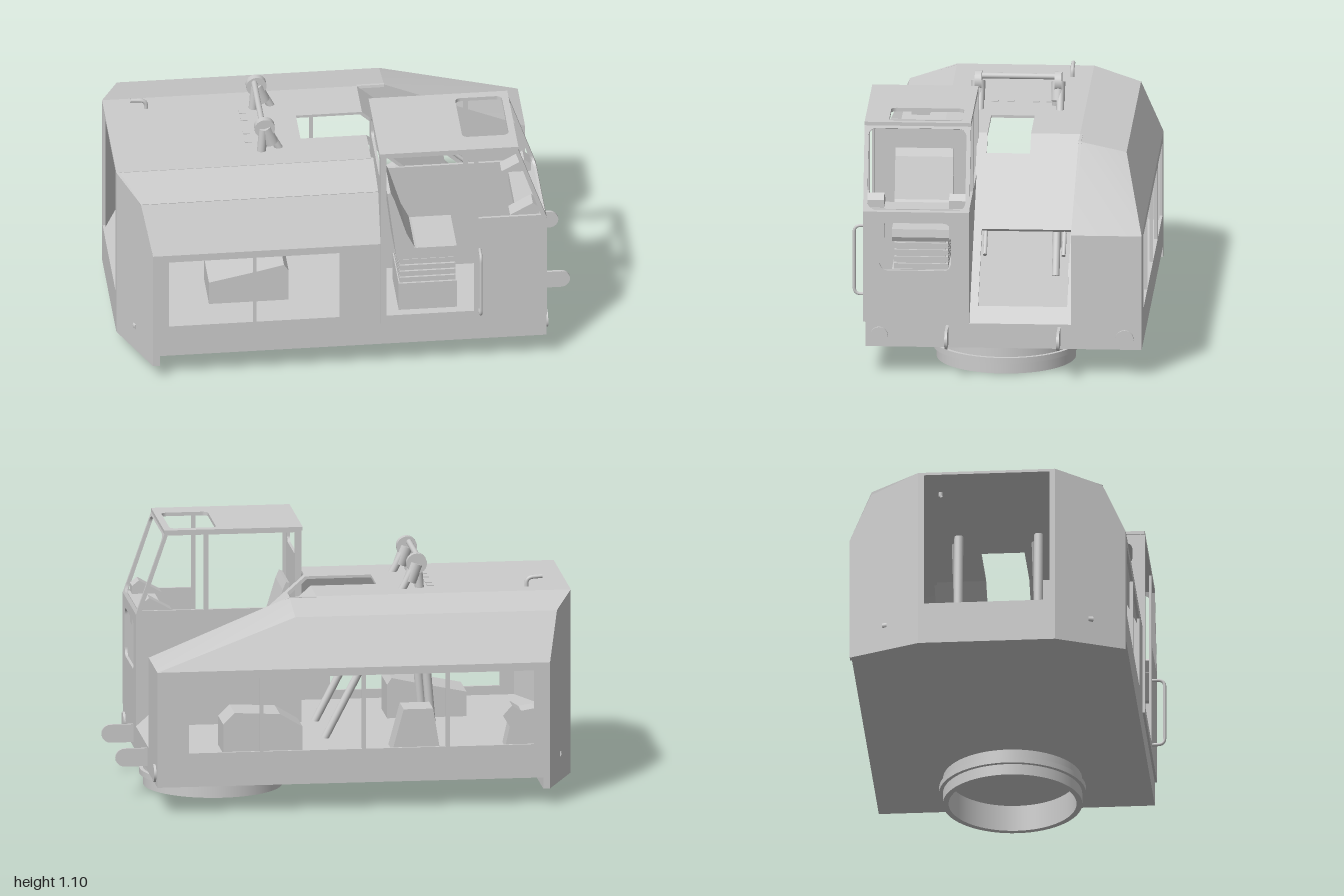
import * as THREE from 'three';

const mat = new THREE.MeshStandardMaterial({ color: 0xcccccc, side: THREE.DoubleSide });
const vec = (a) => new THREE.Vector3(...a);
const X = [1, 0, 0], Y = [0, 1, 0], Z = [0, 0, 1];
const T = 0.012;

// rectangle as corner list, and rounded rectangle as a path
const rect = (a, b, c, d) => [[a, b], [c, b], [c, d], [a, d]];
function rounded(a, b, c, d, r) {
  const p = new THREE.Path();
  p.absarc(c - r, d - r, r, 0, Math.PI / 2);
  p.absarc(a + r, d - r, r, Math.PI / 2, Math.PI);
  p.absarc(a + r, b + r, r, Math.PI, Math.PI * 1.5);
  p.absarc(c - r, b + r, r, Math.PI * 1.5, Math.PI * 2);
  p.closePath();
  return p;
}

export function createModel() {
  const model = new THREE.Group();
  const group = (name) => {
    const g = new THREE.Group();
    g.name = name;
    model.add(g);
    return g;
  };
  const add = (parent, name, geo) => {
    const m = new THREE.Mesh(geo, mat);
    m.name = name;
    parent.add(m);
    return m;
  };
  // sheet drawn in the plane (origin, U, V) and thickened along U x V
  const plate = (parent, name, origin, U, V, outline, holes = [], t = T) => {
    const s = new THREE.Shape(outline.map((p) => new THREE.Vector2(...p)));
    s.holes = holes.map((h) => (h instanceof THREE.Path ? h : new THREE.Path(h.map((p) => new THREE.Vector2(...p)))));
    const geo = new THREE.ExtrudeGeometry(s, { depth: t, bevelEnabled: false, curveSegments: 8 });
    const u = vec(U).normalize(), v = vec(V).normalize();
    geo.applyMatrix4(new THREE.Matrix4().makeBasis(u, v, u.clone().cross(v)).setPosition(...origin));
    return add(parent, name, geo);
  };
  const box = (parent, name, a, b) => {
    const m = add(parent, name, new THREE.BoxGeometry(b[0] - a[0], b[1] - a[1], b[2] - a[2]));
    m.position.set((a[0] + b[0]) / 2, (a[1] + b[1]) / 2, (a[2] + b[2]) / 2);
    return m;
  };
  const rod = (parent, name, a, b, r, n = 16) => {
    const A = vec(a), B = vec(b), d = B.clone().sub(A);
    const m = add(parent, name, new THREE.CylinderGeometry(r, r, d.length(), n));
    m.position.copy(A).add(B).multiplyScalar(0.5);
    m.quaternion.setFromUnitVectors(vec(Y), d.normalize());
    return m;
  };
  const tube = (parent, name, pts, r) => {
    const path = new THREE.CurvePath();
    const P = pts.map(vec), k = 0.03;
    let from = P[0];
    for (let i = 1; i < P.length - 1; i++) {
      const p = P[i].clone().lerp(P[i - 1], k / P[i].distanceTo(P[i - 1]));
      const q = P[i].clone().lerp(P[i + 1], k / P[i].distanceTo(P[i + 1]));
      path.add(new THREE.LineCurve3(from, p));
      path.add(new THREE.QuadraticBezierCurve3(p, P[i], q));
      from = q;
    }
    path.add(new THREE.LineCurve3(from, P[P.length - 1]));
    return add(parent, name, new THREE.TubeGeometry(path, 48, r, 10));
  };

  // base deck, rear skirt and slewing ring
  const base = group('base');
  plate(base, 'deck', [0, 0.23, 0], X, Z,
    [[-1, -0.33], [-0.87, -0.64], [0.86, -0.64], [0.86, 0.57], [-0.87, 0.57], [-1, 0.27]], [], 0.11);
  plate(base, 'rearSkirt', [0, 0.215, 0], X, Z,
    [[-1, -0.33], [-0.87, -0.64], [-0.84, -0.64], [-0.84, 0.57], [-0.87, 0.57], [-1, 0.27]], [], 0.145);
  const ringProfile = [[0.28, 0.12], [0.28, 0], [0.305, 0], [0.305, 0.05], [0.322, 0.05], [0.322, 0.075], [0.305, 0.075], [0.305, 0.12]];
  const ringPoints = ringProfile.flatMap((p, i) => {
    const v = new THREE.Vector2(...p);
    return i ? [v, v.clone()] : [v];
  });
  add(base, 'slewingRing', new THREE.LatheGeometry(ringPoints, 64)).position.set(0.54, 0, -0.03);
  for (const z of [0.51, -0.565]) rod(base, 'frontLamp', [0.85, 0.17, z], [0.87, 0.17, z], 0.039, 32);
  for (const z of [0.205, -0.285]) {
    const lug = new THREE.Shape();
    lug.moveTo(0.85, 0.14);
    lug.lineTo(0.96, 0.14);
    lug.absarc(0.96, 0.18, 0.04, -Math.PI / 2, Math.PI / 2);
    lug.lineTo(0.85, 0.22);
    add(base, 'frontLug', new THREE.ExtrudeGeometry(lug, { depth: 0.012, bevelEnabled: false })).position.z = z;
  }
  for (const z of [-0.25, -0.03, 0.19]) rod(base, 'rearBolt', [-1.0, 0.18, z], [-0.98, 0.18, z], 0.014);
  for (const s of [-1, 1]) rod(base, 'cornerBolt', [-0.93, 0.19, -0.03 + s * 0.44], [-0.925, 0.19, -0.03 + s * 0.46], 0.014);

  // engine house walls
  const house = group('house');
  plate(house, 'leftWall', [0, 0, 0.57 - T], X, Y, rect(-0.87, 0.23, 0.13, 0.635), [rect(-0.8, 0.27, -0.05, 0.6)]);
  plate(house, 'rightWall', [0, 0, -0.64], X, Y, rect(-0.87, 0.23, 0.86, 0.635), [rect(-0.8, 0.27, 0.72, 0.6)]);
  box(house, 'leftPost', [-0.43, 0.27, 0.555], [-0.415, 0.6, 0.57]);
  for (const x of [-0.42, -0.05, 0.4]) box(house, 'rightPost', [x - 0.008, 0.27, -0.64], [x + 0.008, 0.6, -0.625]);
  const len = Math.hypot(0.21, 0.1), top = Math.hypot(0.21, 0.045);
  const windows = () => [rounded(-0.79, 0.022, -0.45, 0.178, 0.04), rounded(-0.31, 0.022, 0.03, 0.178, 0.04)];
  const [lz, rz] = [0.57 - 0.43 * T, -0.64];
  plate(house, 'leftUpperPanel', [0, 0.635 - 0.43 * T, lz - 0.4 * T], X, [0, 0.21, -0.1],
    [[-0.87, 0], [0.13, 0], [0.13, len], [-0.913, len]], windows());
  plate(house, 'rightUpperPanel', [0, 0.635, rz], X, [0, 0.21, 0.1],
    [[-0.87, 0], [0.86, 0], [0.24, len], [-0.913, len]], windows());
  plate(house, 'leftRoofSlope', [0, 0.845 - T, 0.47], X, [0, 0.045, -0.21],
    [[-0.913, 0], [0.13, 0], [0.13, top], [-1, top]]);
  plate(house, 'rightRoofSlope', [0, 0.845, -0.54], X, [0, 0.045, 0.21],
    [[-0.913, 0], [0.24, 0], [0.24, top], [-1, top]]);
  plate(house, 'roof', [0, 0.89, 0], X, Z,
    [[-1, -0.33], [0.12, -0.33], [0.12, -0.115], [-0.17, -0.115], [-0.17, 0.075], [0.12, 0.075], [0.12, 0.27], [-1, 0.27]]);
  // rear corners and open rear frame
  for (const [z0, z1] of [[0.57, 0.27], [-0.64, -0.33]]) {
    const d = Math.hypot(0.13, z1 - z0), e = d * 0.1 / Math.abs(z1 - z0);
    plate(house, 'rearCorner', [-0.87, 0, z0], [-0.13, 0, z1 - z0], Y,
      [[0, 0.23], [d, 0.23], [d, 0.89], [e, 0.845], [0, 0.635]], [], z0 > 0 ? T : -T);
  }
  plate(house, 'rearFrame', [-1 + T, 0, 0], Z, Y, rect(-0.33, 0.23, 0.27, 0.89), [rect(-0.305, 0.26, 0.245, 0.878)]);

  // front hood beside the boom bay
  const hood = new THREE.BufferGeometry();
  hood.setAttribute('position', new THREE.Float32BufferAttribute(
    [0.24, 0.89, -0.33, 0.86, 0.635, -0.33, 0.86, 0.635, -0.64, 0.24, 0.845, -0.54], 3));
  hood.setIndex([0, 1, 2, 0, 2, 3]);
  hood.computeVertexNormals();
  add(house, 'hoodTop', hood);
  plate(house, 'hoodFront', [0.86, 0, 0], Z, Y, rect(-0.64, 0.23, -0.33, 0.635));
  plate(house, 'hoodInnerWall', [0, 0, -0.33 - T], X, Y, [[0.12, 0.89], [0.86, 0.23], [0.86, 0.635], [0.24, 0.89]]);
  // sloping bay panel with window and boom notch
  const bay = Math.hypot(0.74, 0.66);
  plate(house, 'bayPanel', [0.12, 0.89, 0], [0.74, -0.66, 0], Z,
    [[0, -0.33], [bay, -0.33], [bay, 0.12], [0, 0.12], [0, 0.075], [0.105, 0.075], [0.105, -0.115], [0, -0.115]],
    [rect(0.5, -0.31, 0.9, 0.08)], 0.015);
  for (const z of [-0.285, 0.06]) rod(house, 'bayHandle', [0.53, 0.555, z], [0.62, 0.475, z], 0.009);

  // machinery inside the house
  const machine = group('machinery');
  plate(machine, 'engine', [0, 0, 0.14], X, Y, [[-0.6, 0.23], [-0.6, 0.34], [-0.38, 0.385], [-0.27, 0.41], [-0.25, 0.38], [-0.25, 0.23]], [], 0.2);
  plate(machine, 'pumpCover', [0, 0, -0.52], X, Y, [[-0.4, 0.23], [-0.37, 0.415], [-0.24, 0.415], [-0.19, 0.23]], [], 0.14);
  plate(machine, 'hopper', [0, 0, -0.5], X, Y,
    [[-0.82, 0.23], [-0.82, 0.4], [-0.76, 0.39], [-0.72, 0.415], [-0.68, 0.37], [-0.71, 0.32], [-0.69, 0.23]], [], 0.1);
  plate(machine, 'frontUnit', [0, 0, -0.48], X, Y, [[0.2, 0.23], [0.2, 0.34], [0.3, 0.4], [0.5, 0.41], [0.55, 0.36], [0.55, 0.23]], [], 0.18);

  // A-frame through the roof
  const frame = group('aFrame');
  for (const z of [-0.21, 0.14]) {
    rod(frame, 'frameHead', [-0.335, 1.0, z - 0.015], [-0.335, 1.0, z + 0.015], 0.045, 24);
    rod(frame, 'frameHeadArm', [-0.335, 1.0, z], [-0.305, 0.92, z], 0.03, 16);
    rod(frame, 'rearLeg', [-0.34, 1.0, z + 0.01], [-0.405, 0.23, z + 0.01], 0.02);
    rod(frame, 'frontLeg', [-0.32, 0.98, z - 0.01], [0.07, 0.23, z - 0.01], 0.017);
  }
  rod(frame, 'crossBar', [-0.345, 1.02, -0.225], [-0.345, 1.02, 0.155], 0.013);
  for (const z of [-0.17, -0.11, 0, 0.07]) box(frame, 'roofPad', [-0.415, 0.885, z - 0.015], [-0.385, 0.894, z + 0.015]);
  tube(house, 'exhaust', [[-0.815, 0.86, -0.245], [-0.815, 0.93, -0.245], [-0.885, 0.935, -0.245]], 0.009);

  // operator cab
  const cab = group('cab');
  const side = [[0.13, 0.23], [0.86, 0.23], [0.86, 0.73], [0.73, 1.1], [0.13, 1.1]];
  const frontPane = [[0.56, 0.745], [0.835, 0.745], [0.72, 1.08], [0.56, 1.08]];
  plate(cab, 'leftSide', [0, 0, 0.58 - T], X, Y, side, [rect(0.155, 0.27, 0.54, 1.08), frontPane]);
  plate(cab, 'rightSide', [0, 0, 0.115], X, Y, side, [rect(0.16, 0.745, 0.54, 1.08), frontPane]);
  plate(cab, 'rearWall', [0.13 + T, 0, 0], Z, Y, rect(0.115, 0.23, 0.58, 1.1), [rounded(0.175, 0.95, 0.525, 1.047, 0.025)]);
  plate(cab, 'frontWall', [0.86, 0, 0], Z, Y, rect(0.115, 0.23, 0.58, 0.73), [rounded(0.195, 0.465, 0.508, 0.68, 0.035)]);
  const ws = Math.hypot(0.13, 0.37);
  plate(cab, 'windshieldFrame', [0.86, 0.73, 0.58], Z, [-0.13, 0.37, 0], rect(-0.465, 0, 0, ws),
    [rounded(-0.447, 0.01, -0.018, ws - 0.025, 0.035)]);
  plate(cab, 'cabRoof', [0, 1.103, 0], X, Z, rect(0.125, 0.115, 0.735, 0.58), [rounded(0.5, 0.155, 0.705, 0.475, 0.025)], 0.016);
  box(cab, 'ceilingLamp', [0.385, 1.06, 0.31], [0.455, 1.09, 0.39]);
  tube(cab, 'handrail', [[0.565, 0.275, 0.57], [0.565, 0.275, 0.635], [0.565, 0.585, 0.635], [0.565, 0.585, 0.57]], 0.007);

  // seat with ribbed suspension, and control consoles
  const seat = group('seat');
  box(seat, 'seatBase', [0.22, 0.23, 0.22], [0.475, 0.365, 0.475]);
  for (let i = 0; i < 4; i++) {
    const y = 0.365 + i * 0.031;
    box(seat, 'bellowsRib', [0.225, y, 0.23], [0.47, y + 0.024, 0.465]);
    box(seat, 'bellowsCore', [0.235, y, 0.24], [0.46, y + 0.031, 0.455]);
  }
  plate(seat, 'cushion', [0, 0, 0.22], X, Y, [[0.21, 0.49], [0.47, 0.49], [0.48, 0.51], [0.475, 0.545], [0.3, 0.545], [0.21, 0.56]], [], 0.255);
  plate(seat, 'backrest', [0, 0, 0.22], X, Y, [[0.21, 0.5], [0.29, 0.55], [0.255, 0.62], [0.2, 0.8], [0.185, 0.835], [0.17, 0.83]], [], 0.255);
  for (const z of [0.13, 0.49]) {
    plate(cab, 'console', [0, 0, z], X, Y, [[0.7, 0.745], [0.8, 0.8], [0.83, 0.775], [0.83, 0.6], [0.8, 0.6]], [], 0.075);
  }
  box(cab, 'dashboard', [0.73, 0.7, 0.13], [0.845, 0.74, 0.565]);
  return model;
}
